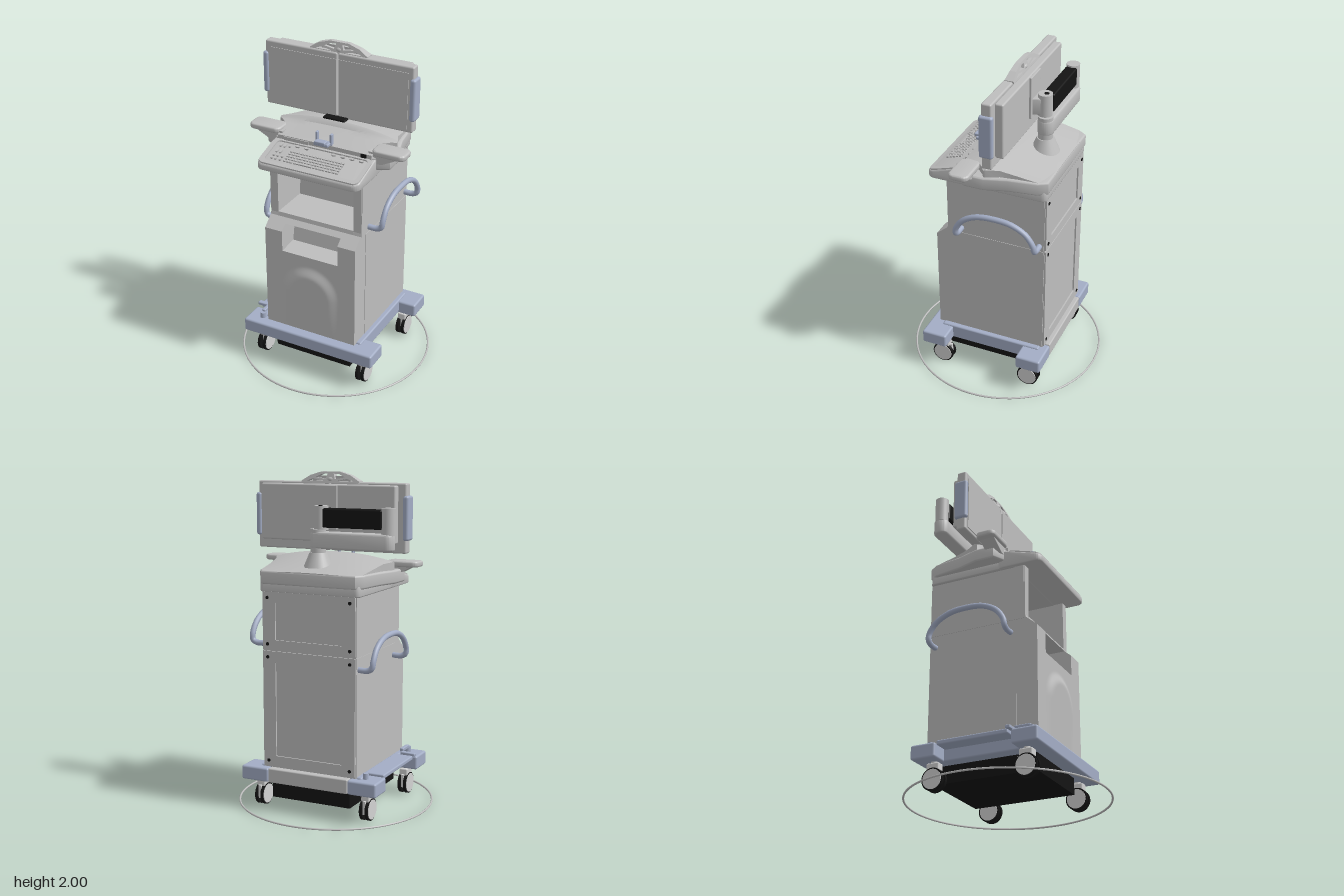
import * as THREE from 'three';
import { toCreasedNormals } from 'three/addons/utils/BufferGeometryUtils.js';
import { RoundedBoxGeometry } from 'three/addons/geometries/RoundedBoxGeometry.js';

const mat = (name, color) => Object.assign(new THREE.MeshStandardMaterial({ color }), { name });

export function createModel() {
  const root = new THREE.Group();
  root.name = 'medicalCart';
  const grey = mat('casing grey', 0xbebebe), blue = mat('bumper blue', 0xa3adc5);
  const black = mat('black', 0x141414), light = mat('wheel grey', 0xd2d2d2);

  const add = (name, geo, m, parent = root) => {
    const mesh = new THREE.Mesh(geo, m);
    mesh.name = name;
    parent.add(mesh);
    return mesh;
  };
  // Box given by its limits, optionally rounded
  const box = (name, m, [x0, x1], [y0, y1], [z0, z1], r = 0, parent = root) => {
    const s = [x1 - x0, y1 - y0, z1 - z0];
    const g = r ? new RoundedBoxGeometry(...s, 2, r) : new THREE.BoxGeometry(...s);
    return add(name, g.translate((x0 + x1) / 2, (y0 + y1) / 2, (z0 + z1) / 2), m, parent);
  };
  const cyl = (name, m, r0, r1, y0, y1, x, z, parent = root) =>
    add(name, new THREE.CylinderGeometry(r1, r0, y1 - y0, 28).translate(x, (y0 + y1) / 2, z), m, parent);
  const poly = pts => new THREE.Shape(pts.map(p => new THREE.Vector2(...p)));
  const roundRect = (x0, x1, y0, y1, r) => {
    const s = new THREE.Shape();
    s.absarc(x1 - r, y1 - r, r, 0, Math.PI / 2);
    s.absarc(x0 + r, y1 - r, r, Math.PI / 2, Math.PI);
    s.absarc(x0 + r, y0 + r, r, Math.PI, Math.PI * 1.5);
    s.absarc(x1 - r, y0 + r, r, Math.PI * 1.5, Math.PI * 2);
    return s;
  };
  // Shape drawn in plan (x, z), extruded from y0 to y1
  const planGeo = (shape, y0, y1, bevel = 0) => toCreasedNormals(new THREE.ExtrudeGeometry(shape, {
    depth: y1 - y0 - 2 * bevel, bevelEnabled: bevel > 0, bevelSize: bevel, bevelThickness: bevel,
    bevelOffset: -bevel, bevelSegments: 3, curveSegments: 8,
  }).rotateX(Math.PI / 2).translate(0, y1 - bevel, 0), 0.6);
  // Shape drawn from the side (z, y), extruded from x0 to x1
  const sideGeo = (pts, x0, x1) => new THREE.ExtrudeGeometry(poly(pts.map(([z, y]) => [-z, y])),
    { depth: x1 - x0, bevelEnabled: false }).rotateY(Math.PI / 2).translate(x0, 0, 0);
  // Skin over closed cross-sections, capped at both ends
  const loft = (sections, crease) => {
    const n = sections[0].length, idx = [], last = (sections.length - 1) * n;
    for (let i = 0; i < sections.length - 1; i++) for (let j = 0; j < n; j++) {
      const a = i * n + j, b = i * n + (j + 1) % n;
      idx.push(a, a + n, b, b, a + n, b + n);
    }
    for (let j = 1; j < n - 1; j++) idx.push(0, j, j + 1, last, last + j + 1, last + j);
    const g = new THREE.BufferGeometry();
    g.setAttribute('position', new THREE.Float32BufferAttribute(sections.flat(2), 3));
    g.setIndex(idx);
    return toCreasedNormals(g, crease);
  };

  // Floor ring
  add('floorRing', new THREE.TorusGeometry(0.59, 0.006, 8, 72).rotateX(Math.PI / 2).translate(0, 0.01, 0), grey);

  // Base with bumpers and undertray
  box('undertray', black, [-0.255, 0.255], [0.075, 0.18], [-0.34, 0.3]);
  box('baseDeck', blue, [-0.33, 0.33], [0.178, 0.27], [-0.34, 0.3], 0.01);
  box('frontBumper', blue, [-0.44, 0.44], [0.175, 0.26], [0.23, 0.388], 0.012);
  box('rearBasePlate', grey, [-0.26, 0.26], [0.175, 0.262], [-0.388, -0.3], 0.008);
  for (const s of [-1, 1]) {
    const x = [s * 0.26, s * 0.44].sort((a, b) => a - b);
    box('rearBumper', blue, x, [0.175, 0.26], [-0.39, -0.235], 0.012);
  }
  box('footPlate', blue, [-0.425, -0.3], [0.245, 0.272], [-0.235, 0.205], 0.008);

  // Brake pedal and rear post
  cyl('pedalPost', blue, 0.019, 0.019, 0.25, 0.295, -0.345, 0.315);
  box('pedalArm', blue, [-0.358, -0.334], [0.285, 0.308], [0.21, 0.31], 0.006);
  box('pedalToe', blue, [-0.43, -0.335], [0.28, 0.3], [0.195, 0.225], 0.006).rotation.z = 0.03;
  cyl('rearPost', blue, 0.016, 0.016, 0.25, 0.295, -0.345, -0.315);

  // Twin-wheel casters
  for (const x of [-0.345, 0.345]) for (const z of [-0.285, 0.285]) {
    const c = new THREE.Group();
    c.name = 'caster';
    c.position.set(x, 0.071, z);
    root.add(c);
    for (const s of [-1, 1]) {
      const wheel = (n, m, r, w, at) =>
        add(n, new THREE.CylinderGeometry(r, r, w, 28).rotateZ(Math.PI / 2).translate(s * at, 0, 0), m, c);
      wheel('tyre', black, 0.066, 0.018, 0.018);
      wheel('hubCap', light, 0.058, 0.005, 0.0285);
    }
    box('fork', light, [-0.026, 0.026], [0.05, 0.095], [-0.04, 0.04], 0.008, c);
    cyl('swivel', light, 0.02, 0.02, 0.085, 0.11, 0, 0, c);
    box('forkWeb', light, [-0.008, 0.008], [-0.02, 0.06], [-0.055, 0.03], 0, c);
  }

  // Cabinet: spans of a side profile, with two open bays in front
  const profile = (upper, lower) => [
    [-0.355, 0.265], [0.33, 0.265],
    ...(lower ? [[0.33, 0.79], [0.2, 0.8], [0.17, 0.955], [0.29, 0.955]] : [[0.33, 0.92]]),
    [0.26, 0.98],
    ...(upper ? [[0.255, 1.005], [0.0, 1.005], [-0.03, 1.32]] : [[0.255, 1.0], [0.255, 1.32]]),
    [-0.355, 1.32],
  ];
  for (const [x0, x1, up, low] of [[-0.3, -0.25, 0, 0], [-0.25, -0.185, 1, 0], [-0.185, 0.185, 1, 1],
    [0.185, 0.25, 1, 0], [0.25, 0.3, 0, 0]]) add('cabinet', sideGeo(profile(up, low), x0, x1), grey);
  for (const s of [-1, 1]) {
    const x = [s * 0.298, s * 0.303].sort((a, b) => a - b);
    box('lowerSidePanel', grey, x, [0.272, 0.968], [-0.352, 0.198]);
    box('upperSidePanel', grey, x, [0.975, 1.318], [-0.352, 0.25]);
  }

  // Arched swelling on the front
  const bulge = new THREE.PlaneGeometry(0.48, 0.5, 48, 50).translate(0, 0.52, 0);
  const bp = bulge.attributes.position;
  for (let i = 0; i < bp.count; i++) {
    const x = bp.getX(i), y = bp.getY(i);
    const r = Math.hypot(x, Math.max(0, y - 0.53));
    const t = 1 - THREE.MathUtils.smoothstep(r, 0.12, 0.2);
    bp.setZ(i, 0.3305 + t * (0.006 + 0.018 * THREE.MathUtils.clamp((y - 0.27) / 0.4, 0, 1)));
  }
  bulge.computeVertexNormals();
  add('frontSwelling', bulge, grey);

  // Rear frames around recessed panels, with screws
  for (const [y0, y1, m] of [[0.272, 0.968, 0.065], [0.975, 1.318, 0.06]]) {
    const frame = roundRect(-0.297, 0.297, y0, y1, 0.005);
    frame.holes.push(roundRect(-0.215, 0.215, y0 + m, y1 - m, 0.006));
    add('rearFrame', new THREE.ExtrudeGeometry(frame, { depth: 0.009, bevelEnabled: false }).translate(0, 0, -0.364), grey);
    for (const x of [-0.265, 0.265]) for (const y of [y0 + 0.035, y1 - 0.035])
      add('screw', new THREE.CylinderGeometry(0.01, 0.01, 0.006, 12).rotateX(Math.PI / 2).translate(x, y, -0.365), black);
  }

  // Side grab handles, mounted at different heights
  for (const [s, y0] of [[1, 1.005], [-1, 0.9]]) {
    const pts = [[0.29, 0, 0.165], [0.36, 0, 0.165], [0.385, 0.015, 0.165], [0.39, 0.05, 0.16], [0.39, 0.115, 0.115],
      [0.39, 0.16, 0.03], [0.39, 0.172, -0.08], [0.39, 0.16, -0.19], [0.39, 0.115, -0.275], [0.39, 0.05, -0.32],
      [0.385, 0.015, -0.325], [0.36, 0, -0.325], [0.29, 0, -0.325]]
      .map(([x, y, z]) => new THREE.Vector3(s * x, y0 + y, z));
    add('grabHandle', new THREE.TubeGeometry(new THREE.CatmullRomCurve3(pts), 72, 0.017, 12), blue);
  }

  // Console: lower slab, flared deck and curved hump
  add('consoleSlab', planGeo(roundRect(-0.32, 0.32, -0.365, 0.2, 0.03), 1.315, 1.38, 0.008), grey);
  const half = [[0.3, 0.15], [0.4, 0.1], [0.4, -0.02], [0.36, -0.15], [0.335, -0.32], [0.3, -0.372]];
  add('consoleDeck', planGeo(poly([...half, ...half.map(([x, z]) => [-x, z]).reverse()]), 1.36, 1.44, 0.012), grey);
  const rows = [[-0.37, 0.3, 1.44, 0.01], [-0.32, 0.325, 1.455, 0.015], [-0.2, 0.335, 1.49, 0.03],
    [-0.1, 0.35, 1.52, 0.04], [-0.03, 0.385, 1.533, 0.045], [-0.015, 0.385, 1.525, 0.045],
    [0.0, 0.36, 1.505, 0.02], [0.04, 0.32, 1.49, 0.005], [0.15, 0.305, 1.455, 0.002]];
  add('consoleHump', loft(rows.map(([z, w, top, drop]) => {
    const ring = [[-w, 1.4, z]];
    for (let k = -12; k <= 12; k++) ring.push([w * k / 12, top - drop * Math.abs(k / 12) ** 2.2, z]);
    return [...ring, [w, 1.4, z]];
  }), 0.5), grey);

  // Side wings
  for (const s of [-1, 1]) {
    const span = (a, b) => [s * a, s * b].sort((p, q) => p - q);
    add('wingTray', planGeo(roundRect(...span(0.3, 0.505), 0.03, 0.152, 0.035), 1.452, 1.486, 0.01), grey);
    const wedge = [[0.28, 1.4], [0.36, 1.4], [0.47, 1.456], [0.28, 1.47]].map(([x, y]) => [s * x, y]);
    add('wingSupport', new THREE.ExtrudeGeometry(poly(wedge), { depth: 0.09, bevelEnabled: false }).translate(0, 0, 0.045), grey);
  }
  box('drivePanel', grey, [-0.26, -0.1], [1.415, 1.45], [0.148, 0.156]);
  box('socket', black, [0.24, 0.275], [1.425, 1.452], [0.147, 0.155]);

  // Blue latch at the front of the console
  box('latchBase', blue, [-0.05, 0.045], [1.455, 1.475], [0.13, 0.185], 0.006);
  box('latchGrip', blue, [-0.038, 0.033], [1.47, 1.49], [0.16, 0.2], 0.006);
  for (const x of [-0.055, 0.038]) box('latchEar', blue, [x, x + 0.014], [1.455, 1.525], [0.125, 0.15], 0.004);

  // Keyboard shelf, its top sloping down to the front
  const topY = z => 1.358 + (0.367 - z) * 0.3;
  const slope = (g, from) => {
    const p = g.attributes.position;
    for (let i = 0; i < p.count; i++)
      if (p.getY(i) > from) p.setY(i, p.getY(i) - 1.36 + topY(p.getZ(i)));
    g.computeVertexNormals();
    return toCreasedNormals(g, 0.6);
  };
  add('keyboardShelf', slope(planGeo(roundRect(-0.328, 0.328, 0.08, 0.367, 0.04), 1.318, 1.36, 0.008), 1.335), grey);
  const rim = roundRect(-0.322, 0.322, 0.152, 0.36, 0.035);
  rim.holes.push(roundRect(-0.292, 0.296, 0.165, 0.335, 0.02));
  add('keyboardRim', slope(planGeo(rim, 1.355, 1.368), 0), grey);
  const keys = new THREE.Group();
  keys.name = 'keys';
  root.add(keys);
  const key = (x, z, w, d, round) => {
    const g = round ? new THREE.CylinderGeometry(0.5, 0.5, 1, 14).scale(w, 0.012, d) : new THREE.BoxGeometry(w, 0.01, d);
    add('key', g.rotateX(Math.atan(0.3)).translate(x, topY(z) + 0.004, z), grey, keys);
  };
  for (let r = 0; r < 5; r++) for (let c = 0; c < 17; c++)
    if (r !== 4 || c < 3 || c > 7) key(-0.168 + c * 0.021, 0.226 + r * 0.02, 0.016, 0.014);
  key(-0.058, 0.306, 0.1, 0.014);
  for (let c = 0; c < 8; c++) if (c !== 2 && c !== 3) key(-0.155 + c * 0.059, 0.18, 0.03, 0.016, true);
  for (const x of [-0.255, -0.23, -0.2]) {
    for (const z of [0.28, 0.305]) key(x, z, 0.017, 0.017, true);
    if (x < -0.21) for (const z of [0.192, 0.24]) key(x, z, 0.018, 0.036, true);
    else key(x, 0.192, 0.016, 0.016, true);
  }

  // Twin monitor
  const cx = -0.013;
  box('monitorBack', grey, [-0.443, 0.417], [1.6, 1.93], [-0.152, -0.1], 0.01);
  for (const s of [-1, 1]) {
    const span = (a, b) => [cx + s * a, cx + s * b].sort((p, q) => p - q);
    box('monitor', grey, span(0.003, 0.477), [1.545, 1.942], [-0.102, -0.042], 0.01);
    box('screen', grey, span(0.008, 0.445), [1.565, 1.905], [-0.044, -0.038]);
    box('monitorGrip', blue, span(0.457, 0.492), [1.618, 1.872], [-0.112, -0.03], 0.014);
  }
  box('monitorPull', black, [-0.085, 0.058], [1.543, 1.556], [-0.05, 0.004], 0.005);

  // Domed vented crest on the monitor
  const crest = poly([[-0.185, 0], [0.185, 0], [0.185, 0.012], [0.13, 0.045], [0.06, 0.066], [-0.06, 0.066], [-0.13, 0.045], [-0.185, 0.012]]);
  for (const s of [-1, 1]) {
    crest.holes.push(new THREE.Path([[0.04, 0.012], [0.15, 0.012], [0.11, 0.026]].map(([x, y]) => new THREE.Vector2(s * x, y))));
    crest.holes.push(new THREE.Path([[0.03, 0.024], [0.095, 0.034], [0.055, 0.052], [0.02, 0.054]].map(([x, y]) => new THREE.Vector2(s * x, y))));
  }
  const crestGeo = new THREE.ExtrudeGeometry(crest, { depth: 0.06, bevelEnabled: false });
  const cp = crestGeo.attributes.position;
  for (let i = 0; i < cp.count; i++) cp.setZ(i, -0.08 + (cp.getZ(i) - 0.03) * (1 - cp.getY(i) * 8));
  crestGeo.computeVertexNormals();
  add('crest', crestGeo.translate(cx, 1.934, 0), grey);
  box('crestCore', grey, [cx - 0.12, cx + 0.12], [1.93, 1.975], [-0.085, -0.075]);
  add('crestHub', new THREE.SphereGeometry(0.03, 20, 12).scale(1, 0.7, 1).translate(cx, 1.955, -0.08), grey);

  // Folding support arm
  cyl('armPedestal', grey, 0.085, 0.05, 1.46, 1.545, 0, -0.232);
  cyl('armColumn', grey, 0.044, 0.044, 1.53, 1.68, 0, -0.232);
  add('lowerArm', planGeo(roundRect(-0.475, 0.045, -0.278, -0.186, 0.045), 1.57, 1.665, 0.012), grey);
  cyl('elbowPost', grey, 0.04, 0.04, 1.655, 1.81, -0.437, -0.23);
  box('upperArm', black, [-0.41, -0.04], [1.69, 1.8], [-0.266, -0.194], 0.01);
  cyl('monitorKnuckle', grey, 0.042, 0.042, 1.675, 1.812, -0.015, -0.222);
  cyl('knucklePin', black, 0.014, 0.014, 1.81, 1.815, -0.015, -0.23);
  const neck = poly([[-0.052, -0.22], [0.022, -0.22], [0.04, -0.15], [-0.07, -0.15]]);
  add('monitorNeck', planGeo(neck, 1.69, 1.79, 0.006), grey);
  box('mountPlate', grey, [-0.085, 0.055], [1.67, 1.925], [-0.165, -0.148], 0.004);

  return root;
}
